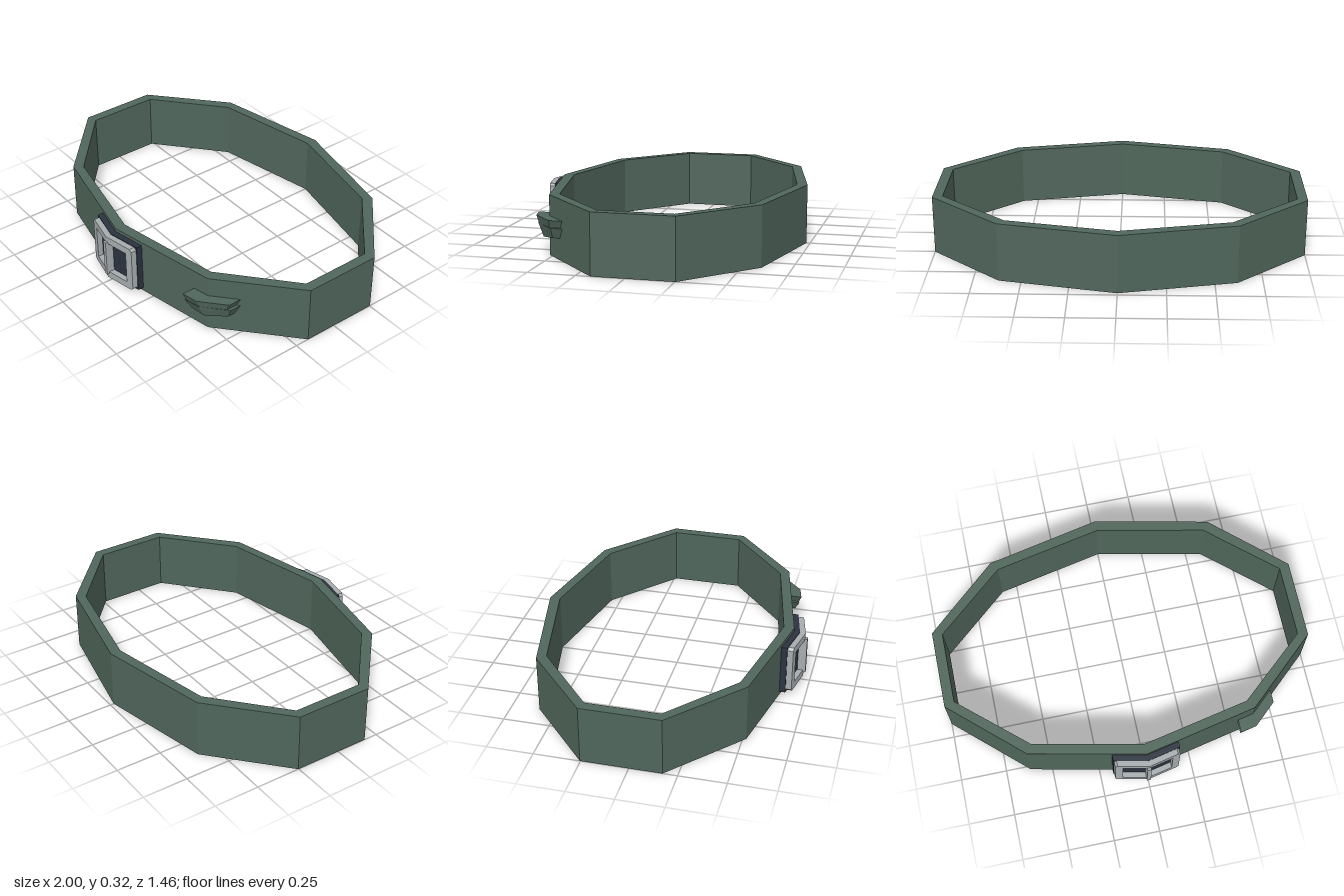
import * as THREE from 'three';

const mat = (color) => new THREE.MeshStandardMaterial({ color, flatShading: true });
const green = mat(0x50665b);
const steel = mat(0xa7adb0);
const dark = mat(0x2b3340);

const CZ = -0.04; // centre of the strap loop in z

// Ten-sided ellipse in plan, with one corner at the middle of the front
function loopPoints(rx, rz) {
  return Array.from({ length: 10 }, (_, i) => {
    const a = (i * Math.PI) / 5;
    return new THREE.Vector2(rx * Math.sin(a), -(CZ + rz * Math.cos(a)));
  });
}

// Depth of the strap's outer face at a given x, on the front half
function strapZ(x) {
  const ax = Math.abs(x);
  return ax < 0.618 ? 0.65 - 0.213 * ax : 0.518 - 0.903 * (ax - 0.618);
}

function add(parent, name, geometry, material) {
  const mesh = new THREE.Mesh(geometry, material);
  mesh.name = name;
  parent.add(mesh);
  return mesh;
}

// Half outline extruded, mirrored, and folded along the strap's front corner
function addFolded(parent, name, half, offset, depth, material) {
  for (const side of [1, -1]) {
    const shape = new THREE.Shape(half.map(([x, y]) => new THREE.Vector2(side * x, y)));
    const geo = new THREE.ExtrudeGeometry(shape, { depth, bevelEnabled: false });
    const p = geo.attributes.position;
    for (let i = 0; i < p.count; i++) p.setZ(i, p.getZ(i) + offset + strapZ(p.getX(i)));
    geo.computeVertexNormals();
    add(parent, name + (side > 0 ? 'Left' : 'Right'), geo, material);
  }
}

// Tapered lip wrapped round a strap corner: a four-point section at three stations
function lipGeometry(topY, bottomY, topDepth, bottomDepth) {
  const topX = [0.53, 0.618, 0.742];
  const bottomX = [0.555, 0.63, 0.72];
  const pos = [];
  for (let i = 0; i < 3; i++) {
    const t = topX[i], b = bottomX[i], tz = strapZ(t), bz = strapZ(b);
    pos.push(t, topY, tz - 0.01, t, topY, tz + topDepth);
    pos.push(b, bottomY[i], bz + bottomDepth, b, bottomY[i], bz - 0.01);
  }
  const index = [0, 3, 2, 0, 2, 1, 8, 9, 10, 8, 10, 11];
  for (let s = 0; s < 2; s++) {
    for (let k = 0; k < 4; k++) {
      const a = s * 4 + k, b = s * 4 + ((k + 1) % 4);
      index.push(a, b, b + 4, a, b + 4, a + 4);
    }
  }
  const geo = new THREE.BufferGeometry();
  geo.setAttribute('position', new THREE.Float32BufferAttribute(pos, 3));
  geo.setIndex(index);
  const flat = geo.toNonIndexed();
  flat.computeVertexNormals();
  return flat;
}

export function createModel() {
  const model = new THREE.Group();
  model.name = 'belt';

  // Strap loop
  const outline = new THREE.Shape(loopPoints(1.0515, 0.69));
  outline.holes.push(new THREE.Path(loopPoints(0.994, 0.633)));
  const strap = new THREE.ExtrudeGeometry(outline, { depth: 0.32, bevelEnabled: false });
  strap.rotateX(-Math.PI / 2);
  add(model, 'strap', strap, green);

  // Buckle: backing plate, open frame with clipped corners, centre prong
  const buckle = new THREE.Group();
  buckle.name = 'buckle';
  model.add(buckle);
  addFolded(buckle, 'buckleBacking',
    [[0, 0.02], [0.18, 0.02], [0.18, 0.3], [0, 0.3]], -0.005, 0.037, dark);
  addFolded(buckle, 'buckleFrame', [
    [0, 0.027], [0.163, 0.027], [0.176, 0.04], [0.176, 0.282], [0.163, 0.296], [0, 0.296],
    [0, 0.255], [0.135, 0.255], [0.135, 0.067], [0, 0.067],
  ], 0.03, 0.033, steel);
  const prong = add(buckle, 'buckleProng', new THREE.BoxGeometry(0.022, 0.21, 0.045), steel);
  prong.position.set(0, 0.16, 0.7025);

  // Two stacked lips forming the side clip
  const clip = new THREE.Group();
  clip.name = 'sideClip';
  model.add(clip);
  add(clip, 'upperLip', lipGeometry(0.21, [0.152, 0.14, 0.155], 0.072, 0.055), green);
  add(clip, 'lowerLip', lipGeometry(0.17, [0.117, 0.1, 0.115], 0.062, 0.04), green);

  return model;
}
